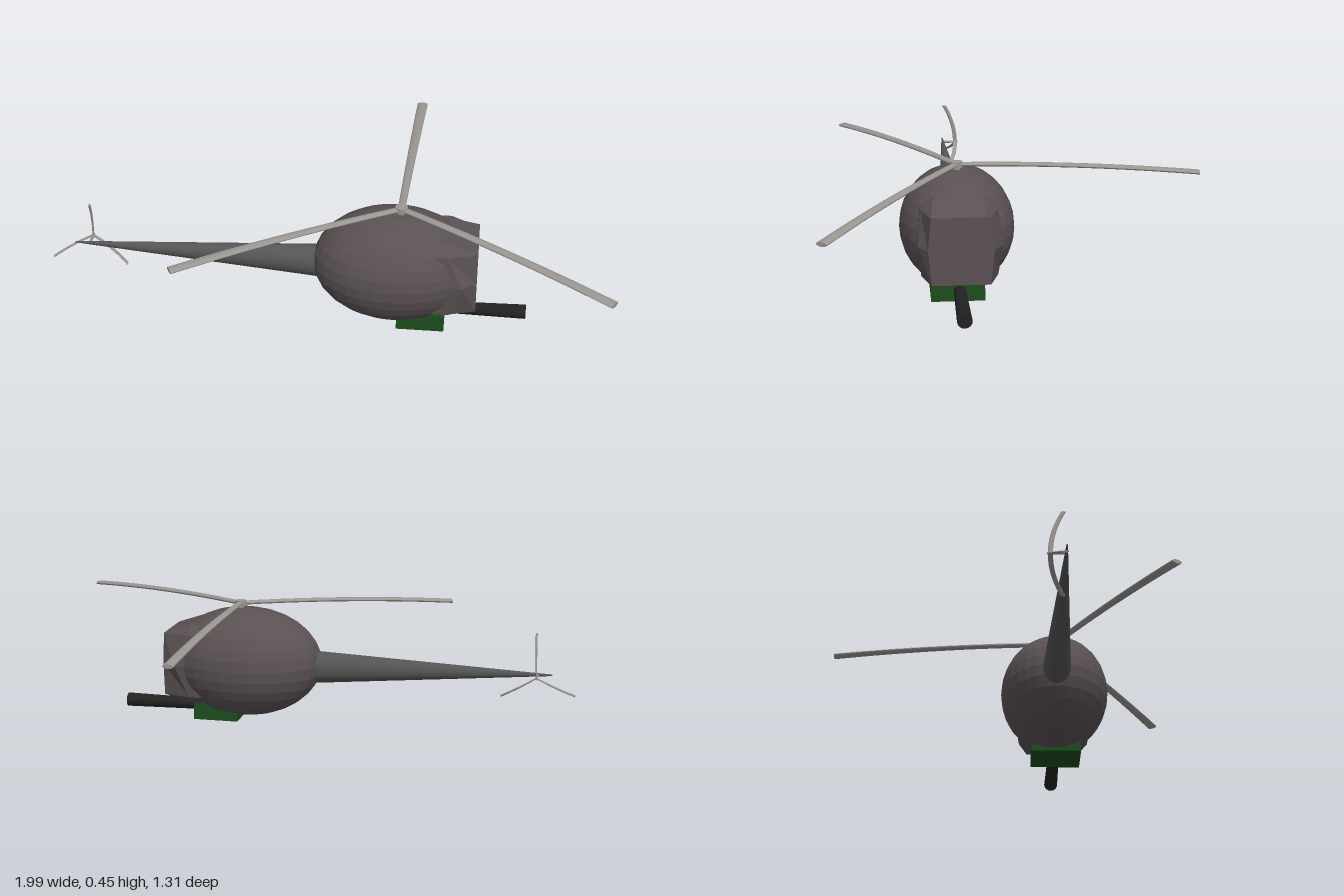
import * as THREE from 'three';

const material = (color) => new THREE.MeshStandardMaterial({ color, flatShading: true });
const MID_Z = 0.187;

function addMesh(parent, name, geometry, mat, x = 0, y = 0, z = 0) {
  const mesh = new THREE.Mesh(geometry, mat);
  mesh.name = name;
  mesh.position.set(x, y, z);
  parent.add(mesh);
  return mesh;
}

// Blade along +x: oval section, widening and drooping towards its tip
function bladeGeometry(length, droop) {
  const geo = new THREE.CylinderGeometry(1, 1, 1, 12, 12);
  geo.rotateZ(-Math.PI / 2).translate(0.5, 0, 0);
  const p = geo.attributes.position;
  for (let i = 0; i < p.count; i++) {
    const t = p.getX(i);
    p.setXYZ(i, t * length, p.getY(i) * 0.0075 - droop * t * t, p.getZ(i) * (0.013 + 0.007 * t));
  }
  geo.computeVertexNormals();
  return geo;
}

// Three blades around a hub, spinning about local y
function makeRotor(name, mat, startAngle) {
  const rotor = new THREE.Group();
  rotor.name = name;
  const geo = bladeGeometry(0.848, 0.04);
  for (let i = 0; i < 3; i++) {
    const blade = addMesh(rotor, 'rotorBlade', geo, mat);
    blade.rotation.y = -startAngle + i * Math.PI * 2 / 3;
  }
  addMesh(rotor, 'rotorHub', new THREE.CylinderGeometry(0.022, 0.022, 0.02, 16), mat);
  return rotor;
}

// Nose window: three mirrored rings lofted forward to a flat pane
function windshieldGeometry() {
  // each row: x, y, half width, listed top to bottom
  const pane = [[0.54, 0.335, 0.08], [0.54, 0.335, 0.1], [0.54, 0.22, 0.112], [0.54, 0.097, 0.1], [0.54, 0.097, 0.08]];
  const frame = [[0.44, 0.37, 0.09], [0.435, 0.335, 0.132], [0.49, 0.22, 0.145], [0.435, 0.097, 0.132], [0.44, 0.066, 0.09]];
  const root = frame.map(([x, y, w]) => [x - 0.07, y, w]);
  const ring = (half) => [
    ...half.map(([x, y, w]) => [x, y, w]),
    ...half.map(([x, y, w]) => [x, y, -w]).reverse(),
  ];
  const rings = [root, frame, pane].map(ring);
  const out = [];
  const n = rings[0].length;
  for (let i = 0; i < n; i++) {
    const j = (i + 1) % n;
    for (let k = 0; k < 2; k++) {
      const [b, f] = [rings[k], rings[k + 1]];
      out.push(...b[i], ...b[j], ...f[j], ...b[i], ...f[j], ...f[i]);
    }
    out.push(0.54, 0.218, 0, ...rings[2][i], ...rings[2][j]);
  }
  const geo = new THREE.BufferGeometry();
  geo.setAttribute('position', new THREE.Float32BufferAttribute(out, 3));
  geo.computeVertexNormals();
  return geo;
}

export function createModel() {
  const model = new THREE.Group();
  model.name = 'helicopter';
  const hull = material(0x5a5153);
  const boom = material(0x555555);
  const metal = material(0x9a9692);
  const black = material(0x222222);
  const green = material(0x1c4d1f);

  // Egg-shaped cabin and its window
  const cabin = addMesh(model, 'cabin', new THREE.SphereGeometry(1, 32, 16), hull, 0.246, 0.22, MID_Z);
  cabin.scale.set(0.292, 0.208, 0.202);
  addMesh(model, 'windshield', windshieldGeometry(), hull, 0, 0, MID_Z);

  // Tapered tail boom, slightly taller than wide
  const boomGeo = new THREE.CylinderGeometry(0.003, 0.064, 0.93, 32);
  boomGeo.rotateZ(Math.PI / 2).scale(1, 1, 0.84);
  const tail = addMesh(model, 'tailBoom', boomGeo, boom, -0.445, 0.218, MID_Z);
  tail.rotation.z = -0.02;

  // Main rotor and mast
  const mainRotor = makeRotor('mainRotor', metal, THREE.MathUtils.degToRad(31.8));
  mainRotor.position.set(0.265, 0.443, MID_Z);
  model.add(mainRotor);
  addMesh(model, 'rotorMast', new THREE.CylinderGeometry(0.014, 0.014, 0.06, 16), metal, 0.265, 0.415, MID_Z);

  // Tail rotor: the same rotor, small and turned to the back
  const tailRotor = makeRotor('tailRotor', metal, THREE.MathUtils.degToRad(-33));
  tailRotor.rotation.x = -Math.PI / 2;
  tailRotor.scale.set(0.185, 1.1, 0.185);
  tailRotor.position.set(-0.857, 0.226, 0.136);
  model.add(tailRotor);
  const shaft = addMesh(model, 'tailRotorShaft', new THREE.CylinderGeometry(0.005, 0.005, 0.062, 12), metal, -0.857, 0.226, 0.157);
  shaft.rotation.x = Math.PI / 2;

  // Gun under the nose with its mount
  addMesh(model, 'gunMount', new THREE.BoxGeometry(0.17, 0.064, 0.186), green, 0.346, 0.032, 0.193);
  const gun = addMesh(model, 'gunBarrel', new THREE.CylinderGeometry(0.026, 0.021, 0.32, 16), black, 0.56, 0.038, MID_Z);
  gun.rotation.z = -Math.PI / 2;

  return model;
}
